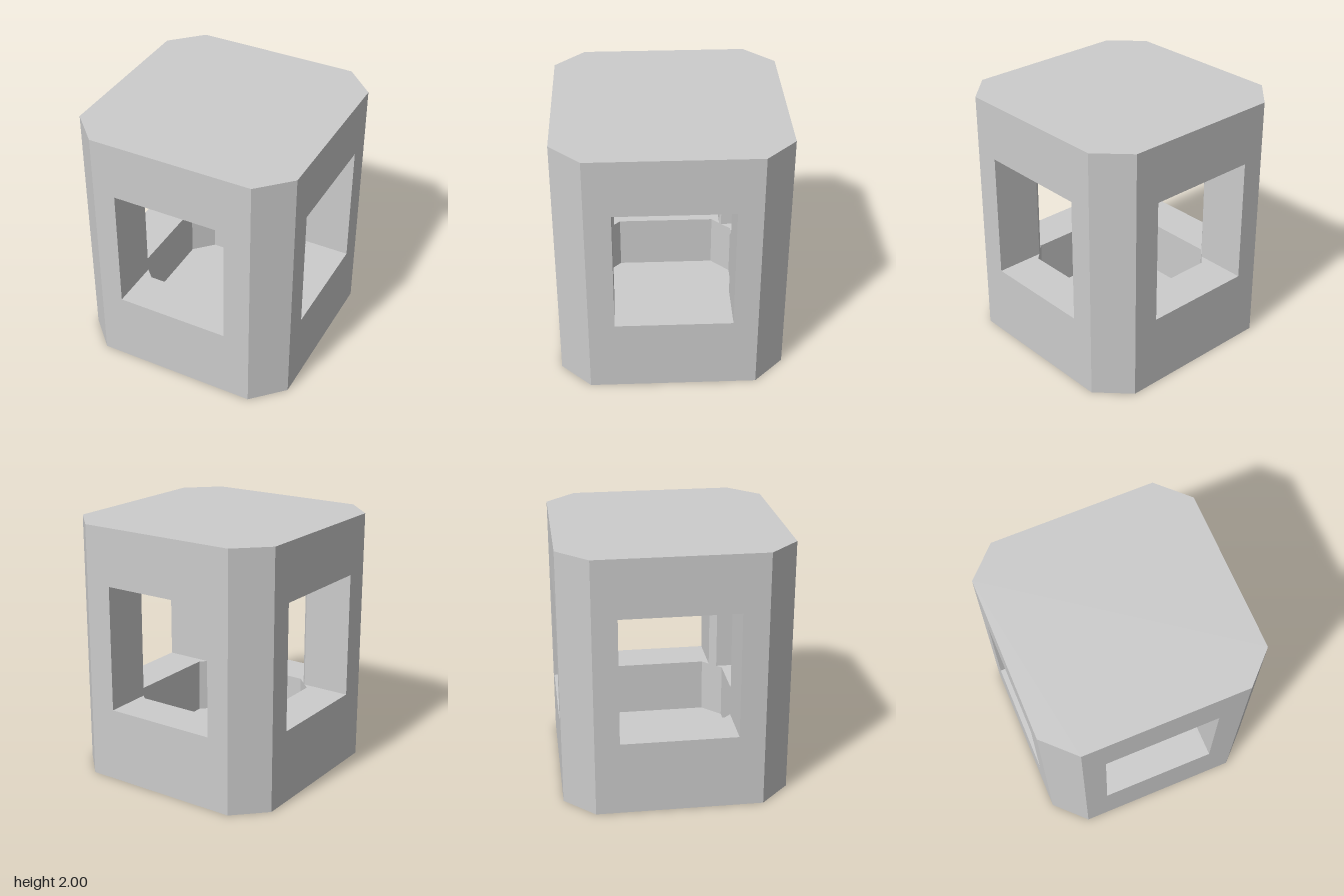
import * as THREE from 'three';
import { mergeGeometries } from 'three/addons/utils/BufferGeometryUtils.js';

// outer and inner half width, and half length of each flat side
const OUT = 0.868, OUT_FLAT = 0.637;
const IN = 0.535, IN_FLAT = 0.39, IN_SUM = IN + IN_FLAT;
// heights of the inner floor, sill, lintel, inner ceiling and top
const FLOOR = 0.14, SILL = 0.575, LINTEL = 1.555, CEILING = 1.8, TOP = 2;
// window openings, cut straight through along z and along x
const X_CUT = [-0.46, 0.43], Z_CUT = [-0.45, 0.44];

const octagon = (r, f) => [
  [-f, r], [f, r], [r, f], [r, -f], [f, -r], [-f, -r], [-r, -f], [-r, f],
];

// Upright faces along a closed outline of [x, z] points
function walls(outline, y0, y1) {
  const pos = [];
  outline.forEach(([ax, az], i) => {
    const [bx, bz] = outline[(i + 1) % outline.length];
    pos.push(ax, y0, az, bx, y0, bz, bx, y1, bz, ax, y0, az, bx, y1, bz, ax, y1, az);
  });
  const g = new THREE.BufferGeometry();
  g.setAttribute('position', new THREE.Float32BufferAttribute(pos, 3));
  g.computeVertexNormals();
  return g;
}

// Level face over an outline, facing up or down
function level(outline, y, up) {
  const s = up ? -1 : 1;
  const shape = new THREE.Shape(outline.map(([x, z]) => new THREE.Vector2(x, s * z)));
  const g = new THREE.ShapeGeometry(shape).toNonIndexed();
  g.deleteAttribute('uv');
  return g.rotateX(s * Math.PI / 2).translate(0, y, 0);
}

// The four ledges between the posts, used for sills and lintels
function ledges(y, up) {
  const list = [];
  for (const s of [-1, 1]) {
    for (const [cut, swap] of [[X_CUT, false], [Z_CUT, true]]) {
      const [a, b] = cut;
      const pts = [
        [a, s * OUT], [b, s * OUT], [b, s * (IN_SUM - b)],
        [IN_FLAT, s * IN], [-IN_FLAT, s * IN], [a, s * (IN_SUM + a)],
      ];
      list.push(level(swap ? pts.map(([u, v]) => [v, u]) : pts, y, up));
    }
  }
  return list;
}

// Chamfered corner post with a sloping inner face
function post(sx, sz) {
  const a = Math.abs(X_CUT[sx > 0 ? 1 : 0]);
  const b = Math.abs(Z_CUT[sz > 0 ? 1 : 0]);
  const pts = [
    [a, OUT], [OUT_FLAT, OUT], [OUT, OUT_FLAT], [OUT, b], [IN_SUM - b, b], [a, IN_SUM - a],
  ].map(([x, z]) => [x * sx, z * sz]);
  return walls(sx * sz < 0 ? pts.reverse() : pts, SILL, LINTEL);
}

export function createModel() {
  const group = new THREE.Group();
  const material = new THREE.MeshStandardMaterial({ color: 0xcccccc, flatShading: true });
  const add = (name, parts) => {
    const mesh = new THREE.Mesh(mergeGeometries(parts), material);
    mesh.name = name;
    group.add(mesh);
  };
  const outer = octagon(OUT, OUT_FLAT);
  const inner = octagon(IN, IN_FLAT);
  const innerFacing = [...inner].reverse();

  // Hollow base up to the sills
  add('base', [
    walls(outer, 0, SILL), level(outer, 0, false),
    walls(innerFacing, FLOOR, SILL), level(inner, FLOOR, true),
    ...ledges(SILL, true),
  ]);

  // Four corner posts between the windows
  const posts = [];
  for (const sx of [-1, 1]) for (const sz of [-1, 1]) posts.push(post(sx, sz));
  add('cornerPosts', posts);

  // Hollow head from the lintels to the flat top
  add('head', [
    walls(outer, LINTEL, TOP), level(outer, TOP, true),
    walls(innerFacing, LINTEL, CEILING), level(inner, CEILING, false),
    ...ledges(LINTEL, false),
  ]);

  return group;
}
